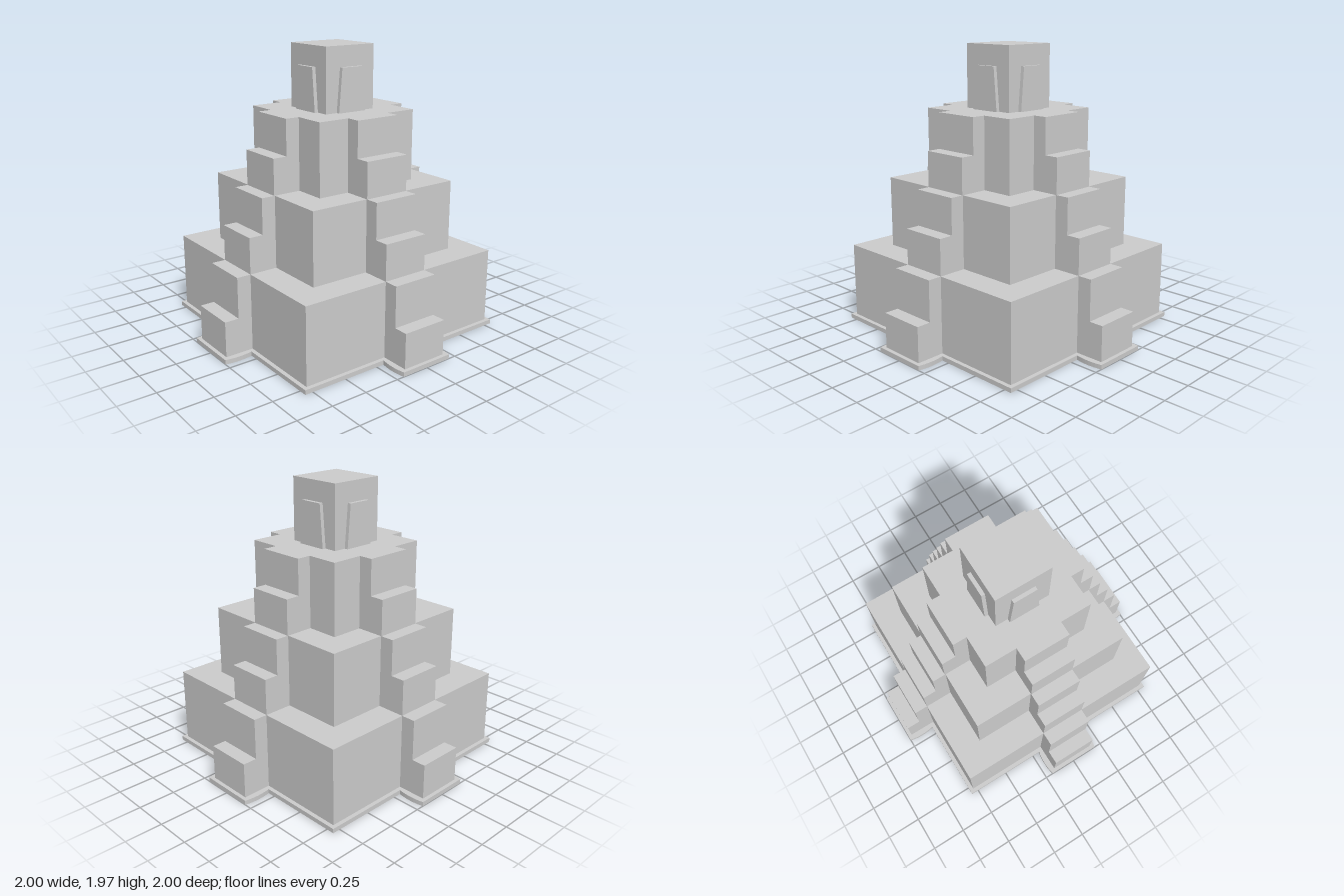
import * as THREE from 'three';

const material = new THREE.MeshStandardMaterial({ color: 0xcccccc, flatShading: true });

function addMesh(parent, name, geometry) {
  const mesh = new THREE.Mesh(geometry, material);
  mesh.name = name;
  parent.add(mesh);
  return mesh;
}

// Square block standing between two heights
function addBlock(parent, name, half, y0, y1) {
  addMesh(parent, name, new THREE.BoxGeometry(half * 2, y1 - y0, half * 2)).position.y = (y0 + y1) / 2;
}

function extrude(shape, depth) {
  return new THREE.ExtrudeGeometry(shape, { depth, bevelEnabled: false, curveSegments: 8 });
}

// Square slab with a slightly bulging tongue under each stairway
function baseGeometry(height) {
  const half = 0.805, arm = 0.195, end = 1, bulge = 0.217;
  const shape = new THREE.Shape();
  shape.moveTo(half, -half);
  for (let i = 0; i < 4; i++) {
    const a = i * Math.PI / 2, c = Math.cos(a), s = Math.sin(a);
    const p = (x, y) => [x * c - y * s, x * s + y * c];
    const mid = (half + end) / 2;
    shape.lineTo(...p(half, -arm));
    shape.quadraticCurveTo(...p(mid, -bulge), ...p(end, -arm));
    shape.lineTo(...p(end, arm));
    shape.quadraticCurveTo(...p(mid, bulge), ...p(half, arm));
    if (i < 3) shape.lineTo(...p(half, half));
  }
  shape.lineTo(half, half).lineTo(half, half);
  shape.curves.splice(-2); // the outline closes at the first corner
  shape.closePath();
  return extrude(shape, height).rotateX(-Math.PI / 2);
}

export function createModel() {
  const model = new THREE.Group();
  model.name = 'steppedPyramid';

  addMesh(model, 'basePlate', baseGeometry(0.03));

  // Each tier: half width, bottom, height of its lower step, top
  const tiers = [
    [0.777, 0.03, 0.272, 0.552],
    [0.58, 0.552, 0.798, 1.043],
    [0.388, 1.043, 1.286, 1.53],
  ];
  tiers.forEach(([half, y0, , y1], i) => addBlock(model, `tier${i + 1}`, half, y0, y1));

  // Shrine on the summit
  addBlock(model, 'shrine', 0.197, 1.53, 1.965);

  // Stairway and doorway on each of the four sides
  const stairWidth = 0.328;
  const door = new THREE.Shape([[-0.109, 1.53], [0.109, 1.53], [0.083, 1.826], [-0.083, 1.826]]
    .map(([x, y]) => new THREE.Vector2(x, y)));
  for (let i = 0; i < 4; i++) {
    const side = new THREE.Group();
    side.name = ['frontSide', 'leftSide', 'backSide', 'rightSide'][i];
    side.rotation.y = i * Math.PI / 2;
    model.add(side);

    // Two steps climb every tier
    tiers.forEach(([half, y0, yStep, y1], t) => {
      const outer = half + 0.197, inner = half + 0.098;
      const profile = new THREE.Shape([[half, y0], [outer, y0], [outer, yStep], [inner, yStep], [inner, y1], [half, y1]]
        .map(([z, y]) => new THREE.Vector2(z, y)));
      addMesh(side, `stairs${t + 1}`,
        extrude(profile, stairWidth).translate(0, 0, -stairWidth / 2).rotateY(-Math.PI / 2));
    });

    addMesh(side, 'doorway', extrude(door, 0.026).translate(0, 0, 0.197));
  }
  return model;
}
